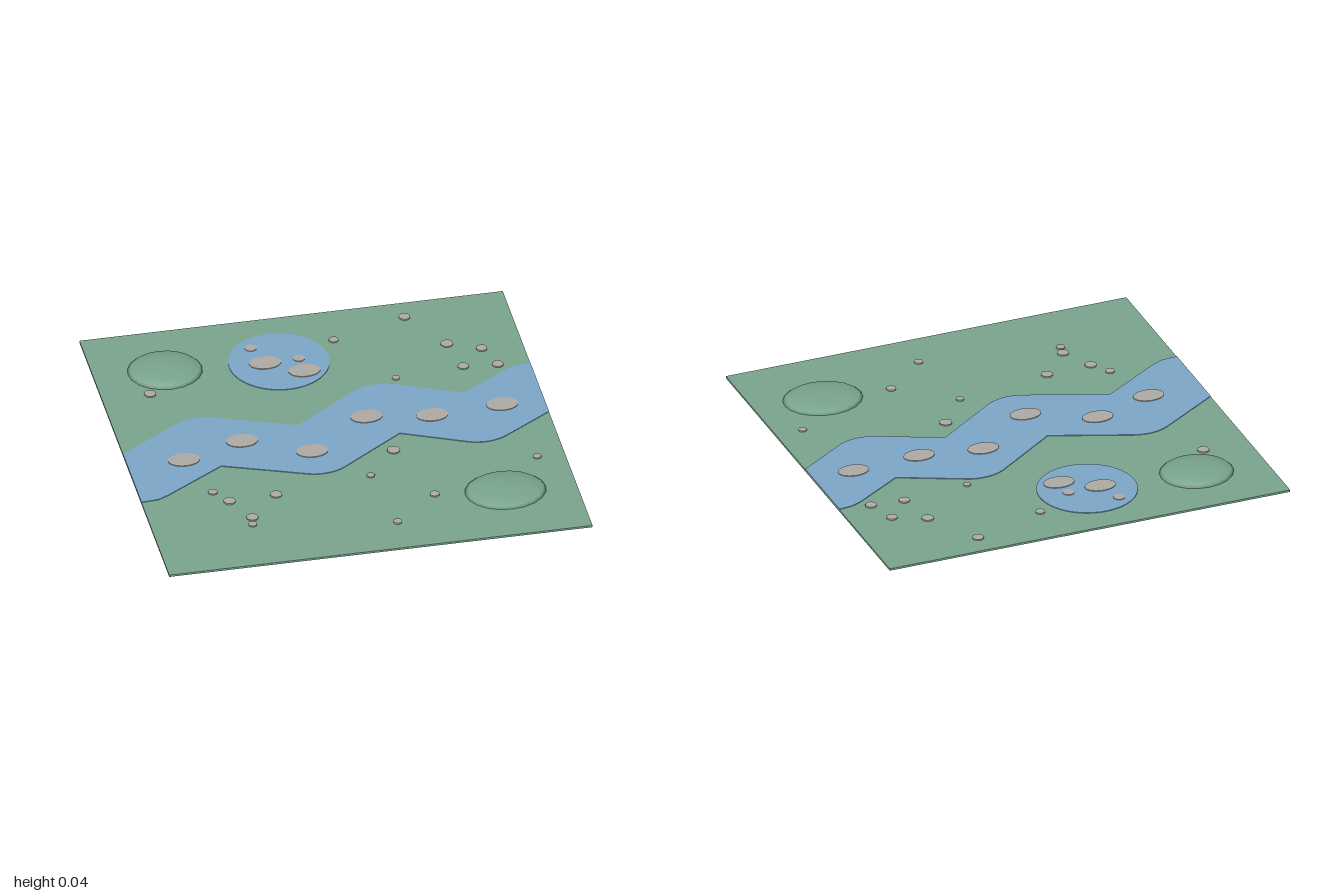
import * as THREE from 'three';

const GROUND = 0.01, WATER = 0.0135;

export function createModel() {
  const mat = (name, color) => Object.assign(new THREE.MeshStandardMaterial({ color }), { name });
  const grass = mat('grass green', 0x7aa58e);
  const blue = mat('water blue', 0x7fa8c9);
  const grey = mat('stone grey', 0xafaca7);

  const model = new THREE.Group();
  model.name = 'riverTerrain';
  const add = (name, geometry, material, x = 0, y = 0, z = 0) => {
    const mesh = new THREE.Mesh(geometry, material);
    mesh.name = name;
    mesh.position.set(x, y, z);
    model.add(mesh);
    return mesh;
  };

  // Ground slab
  add('ground', new THREE.BoxGeometry(2, GROUND, 2), grass, 0, GROUND / 2, 0);

  // River: a wide band with round outer bends and sharp inner bends
  const path = [[-0.97, 0.185], [-0.6, -0.057], [-0.13, 0.125], [0.265, -0.16], [0.66, 0.02], [0.985, -0.19]]
    .map(([x, z]) => new THREE.Vector2(x, z));
  const half = 0.196;
  const bank = (side) => {
    const points = [];
    const normal = (i) => {
      const d = path[i + 1].clone().sub(path[i]).normalize();
      return new THREE.Vector2(-d.y, d.x).multiplyScalar(side);
    };
    for (let i = 1; i < path.length - 1; i++) {
      const a = normal(i - 1), b = normal(i);
      const direction = path[i + 1].clone().sub(path[i]);
      if (a.dot(direction) < 0) {
        for (let k = 0; k <= 8; k++) {
          const n = a.clone().lerp(b, k / 8).normalize();
          points.push(path[i].clone().addScaledVector(n, half));
        }
      } else {
        const m = a.clone().add(b).normalize();
        points.push(path[i].clone().addScaledVector(m, half / m.dot(a)));
      }
    }
    return points;
  };
  const p = (x, z) => new THREE.Vector2(x, z);
  const outline = [
    p(-1, -0.03), ...bank(-1), p(0.88, -0.355), p(0.93, -0.378), p(1, -0.386),
    p(1, 0.03), ...bank(1).reverse(), p(-0.87, 0.352), p(-0.92, 0.376), p(-1, 0.382),
  ];
  // Shape y becomes -z once laid flat
  const riverShape = new THREE.Shape(outline.map((v) => p(v.x, -v.y)));
  const riverGeometry = new THREE.ExtrudeGeometry(riverShape, { depth: WATER - GROUND, bevelEnabled: false });
  add('river', riverGeometry.rotateX(-Math.PI / 2), blue, 0, GROUND, 0);

  // Flat discs for the pond and stones
  const disc = (name, material, x, z, rx, rz, bottom, top, sides) => {
    const geometry = new THREE.CylinderGeometry(1, 1, top - bottom, sides).scale(rx, 1, rz);
    add(name, geometry, material, x, (top + bottom) / 2, z);
  };
  disc('pond', blue, -0.135, -0.635, 0.235, 0.235, GROUND, WATER, 48);

  // Low hills
  const hills = [[-0.665, -0.675, 0.175, 0.033, 0.16], [0.667, 0.63, 0.19, 0.028, 0.16]];
  for (const [x, z, rx, h, rz] of hills) {
    const dome = new THREE.SphereGeometry(1, 20, 4, 0, Math.PI * 2, 0, Math.PI / 2).scale(rx, h, rz);
    add('hill', dome, grass, x, GROUND, z);
  }

  // Broad stepping stones in the water
  const broad = [[-0.735, 0.08], [-0.44, -0.02], [-0.14, 0.13], [0.165, -0.1], [0.465, -0.05], [0.8, -0.07],
    [-0.2, -0.635], [-0.035, -0.535]];
  for (const [x, z] of broad) disc('steppingStone', grey, x, z, 0.075, 0.052, GROUND, 0.017, 24);

  // Pebbles: x, z, radius
  const pebbles = [
    [-0.24, -0.77, 0.028], [-0.04, -0.64, 0.028], [0.15, -0.76, 0.023], [0.51, -0.88, 0.027],
    [0.655, -0.62, 0.029], [0.805, -0.55, 0.026], [0.69, -0.42, 0.026], [0.85, -0.405, 0.027],
    [0.365, -0.39, 0.018], [-0.773, -0.495, 0.028], [0.23, 0.198, 0.03], [-0.66, 0.368, 0.022],
    [-0.6, 0.457, 0.028], [-0.378, 0.448, 0.028], [-0.525, 0.612, 0.028], [-0.535, 0.668, 0.021],
    [0.083, 0.382, 0.019], [0.868, 0.386, 0.02], [0.34, 0.595, 0.023], [0.125, 0.785, 0.021],
  ];
  for (const [x, z, r] of pebbles) disc('pebble', grey, x, z, r, r, GROUND, 0.0165, 12);

  return model;
}
